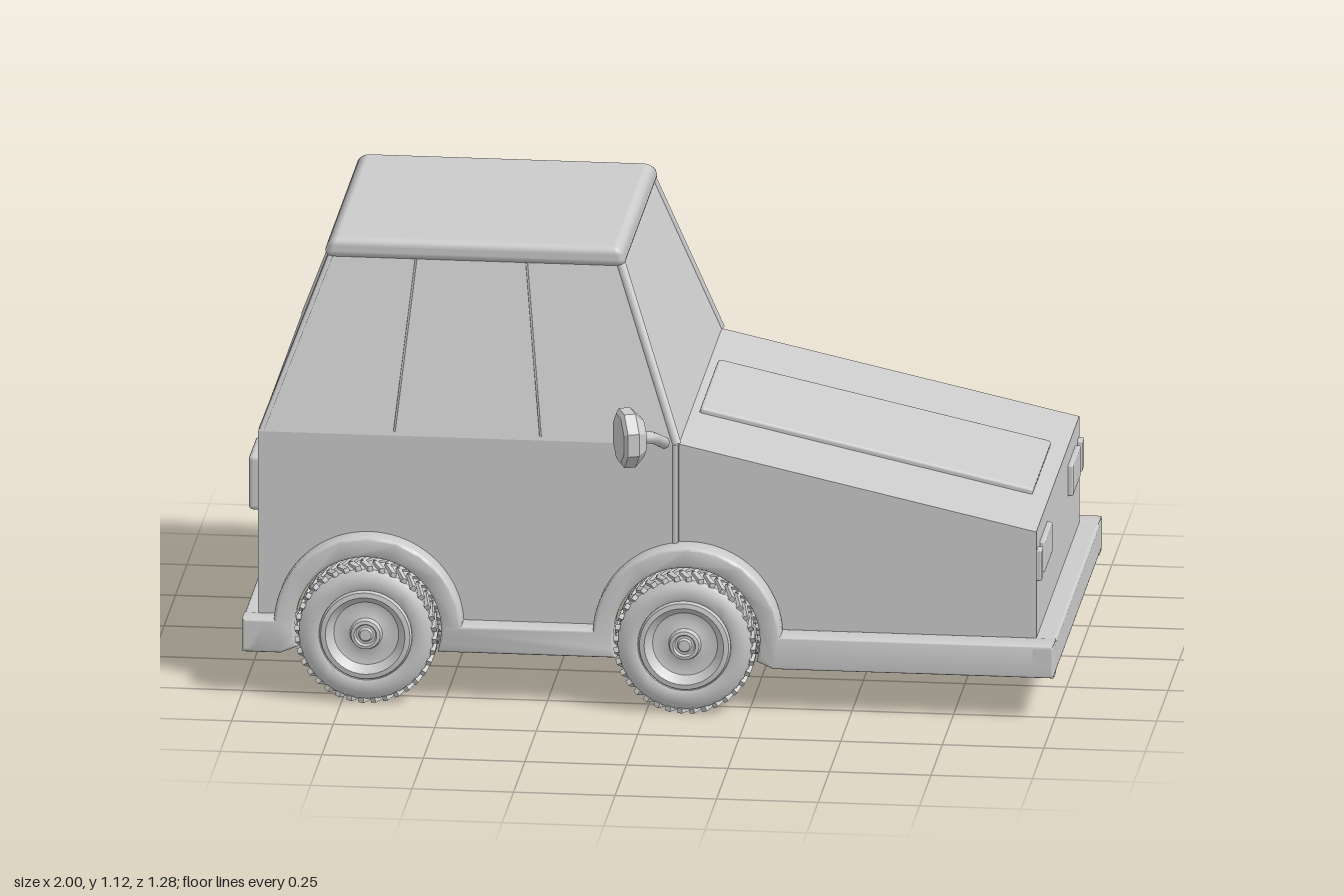
import * as THREE from 'three';
import { mergeGeometries, toCreasedNormals } from 'three/addons/utils/BufferGeometryUtils.js';
import { RoundedBoxGeometry } from 'three/addons/geometries/RoundedBoxGeometry.js';

const solid = new THREE.MeshStandardMaterial({ color: 0xcccccc });
const sheet = new THREE.MeshStandardMaterial({ color: 0xcccccc, side: THREE.DoubleSide });
const V = (x, y, z) => new THREE.Vector3(x, y, z);

const AXLES = [-0.69, 0.095]; // x of rear and front axle
const AXLE_Y = 0.18;
const BELT = 0.66, ROOF = 1.085; // heights of the window line and roof
const CABIN_W = 0.484, HOOD_W = 0.474, ROOF_W = 0.348; // half widths

function add(parent, name, geometry, material = solid) {
  const mesh = new THREE.Mesh(geometry, material);
  mesh.name = name;
  parent.add(mesh);
  return mesh;
}

// Flat four-cornered panel
function panel(a, b, c, d) {
  const g = new THREE.BufferGeometry().setFromPoints([a, b, c, a, c, d]);
  g.computeVertexNormals();
  return g;
}

// Panel across the car between two profile points [x, y, halfWidth]
const across = (p, q) => panel(V(p[0], p[1], p[2]), V(p[0], p[1], -p[2]), V(q[0], q[1], -q[2]), V(q[0], q[1], q[2]));

function rod(a, b, r) {
  return new THREE.TubeGeometry(new THREE.LineCurve3(a, b), 1, r, 8);
}

function box(parent, name, size, pos, radius) {
  const g = radius ? new RoundedBoxGeometry(...size, 2, radius) : new THREE.BoxGeometry(...size);
  const m = add(parent, name, g);
  m.position.set(...pos);
  return m;
}

// Side walls, cut out around the wheels
function sideWalls(body, s) {
  const r = 0.2, split = 0.07, y0 = 0.17;
  const a = Math.acos((split - AXLES[1]) / r);
  const door = new THREE.Shape();
  door.moveTo(-0.965, y0);
  door.lineTo(AXLES[0] - r, y0);
  door.absarc(AXLES[0], AXLE_Y, r, Math.PI, 0, true);
  door.lineTo(AXLES[0] + r, 0.19);
  door.lineTo(AXLES[1] - r, 0.19);
  door.absarc(AXLES[1], AXLE_Y, r, Math.PI, a, true);
  door.lineTo(split, BELT);
  door.lineTo(-0.965, BELT);
  add(body, 'cabinSide', new THREE.ShapeGeometry(door, 20), sheet).position.z = s * CABIN_W;

  const wing = new THREE.Shape();
  wing.moveTo(split, BELT);
  wing.lineTo(split, AXLE_Y + r * Math.sin(a));
  wing.absarc(AXLES[1], AXLE_Y, r, a, 0, true);
  wing.lineTo(AXLES[1] + r, y0);
  wing.lineTo(0.95, y0);
  wing.lineTo(0.95, 0.465);
  add(body, 'hoodSide', new THREE.ShapeGeometry(wing, 20), sheet).position.z = s * HOOD_W;

  // Step between the cabin and the narrower hood
  add(body, 'doorEdge', rod(V(split - 0.008, 0.38, s * (CABIN_W - 0.004)), V(split - 0.008, BELT, s * (CABIN_W - 0.004)), 0.009));
  add(body, 'sideWindow', panel(V(-0.965, BELT, s * CABIN_W), V(split, BELT, s * CABIN_W),
    V(-0.085, ROOF, s * ROOF_W), V(-0.805, ROOF, s * ROOF_W)), sheet);
  // Window seams and corner pillars
  for (const [x0, x1] of [[-0.63, -0.59], [-0.27, -0.32]])
    add(body, 'windowSeam', rod(V(x0, BELT + 0.01, s * CABIN_W), V(x1, ROOF, s * ROOF_W), 0.0025));
  add(body, 'frontPillar', rod(V(split - 0.005, BELT, s * (CABIN_W - 0.006)), V(-0.09, ROOF, s * (ROOF_W - 0.006)), 0.012));
  add(body, 'rearPillar', rod(V(-0.957, BELT, s * (CABIN_W - 0.007)), V(-0.797, ROOF, s * (ROOF_W - 0.007)), 0.009));
}

// Wheel arches and sill in one extruded strip
function trimGeometry() {
  const ri = 0.187, ro = 0.225, yb = 0.115, top = 0.187;
  const t = new THREE.Shape();
  const out = Math.asin((top - AXLE_Y) / ro), inn = Math.asin((0.13 - AXLE_Y) / ri);
  t.moveTo(-0.992, yb);
  t.lineTo(-0.992, top);
  for (const x of AXLES) t.absarc(x, AXLE_Y, ro, Math.PI - out, out, true);
  t.lineTo(0.992, top);
  t.lineTo(0.992, yb);
  t.lineTo(AXLES[1] + 0.215, yb);
  for (const x of [...AXLES].reverse()) t.absarc(x, AXLE_Y, ri, inn, Math.PI - inn, false);
  t.lineTo(AXLES[0] - 0.215, yb);
  const g = new THREE.ExtrudeGeometry(t, { depth: 0.044, bevelThickness: 0.012, bevelSize: 0.007, bevelSegments: 3, curveSegments: 20 });
  return toCreasedNormals(g, 0.7);
}

// Wheel centred on its own axis, outer face towards +z
function makeWheel() {
  const wheel = new THREE.Group();
  wheel.name = 'wheel';
  const lathe = pts => toCreasedNormals(
    new THREE.LatheGeometry(pts.map(p => new THREE.Vector2(...p)), 40).rotateX(Math.PI / 2), 0.6);
  add(wheel, 'tyre', lathe([[0.1, -0.05], [0.115, -0.057], [0.15, -0.057], [0.166, -0.045], [0.17, 0],
    [0.166, 0.045], [0.15, 0.057], [0.125, 0.06], [0.115, 0.056], [0.112, 0.045]]), sheet);
  add(wheel, 'rim', lathe([[0, -0.064], [0.1, -0.064], [0.115, -0.05], [0.115, 0.05], [0.11, 0.062], [0.098, 0.064],
    [0.09, 0.055], [0.08, 0.04], [0.06, 0.036], [0.04, 0.042], [0.036, 0.056], [0.028, 0.058],
    [0.024, 0.05], [0.018, 0.05], [0.014, 0.058], [0, 0.06]]), sheet);
  // Chevron tread blocks
  const blocks = [];
  for (let i = 0; i < 36; i++) for (const s of [-1, 1]) {
    const b = new THREE.BoxGeometry(0.014, 0.012, 0.054);
    b.rotateY(s * 0.45).translate(0, 0.169, s * 0.026);
    blocks.push(b.rotateZ(i / 36 * Math.PI * 2));
  }
  add(wheel, 'tread', mergeGeometries(blocks));
  return wheel;
}

// Door mirror for the +z side
function makeMirror() {
  const mirror = new THREE.Group();
  mirror.name = 'doorMirror';
  const arm = new THREE.CatmullRomCurve3([V(0.035, 0.66, 0.465), V(0.025, 0.685, 0.52), V(0.01, 0.705, 0.565), V(-0.03, 0.706, 0.58)]);
  add(mirror, 'mirrorArm', new THREE.TubeGeometry(arm, 12, 0.015, 8));
  const head = new THREE.Group();
  // Octagonal housing, narrower at the front
  const profile = [[0, -0.026], [0.062, -0.026], [0.074, -0.018], [0.074, 0.01], [0.05, 0.034], [0, 0.034]]
    .map(p => new THREE.Vector2(...p));
  const g = new THREE.LatheGeometry(profile, 8).rotateY(Math.PI / 8).rotateZ(-Math.PI / 2);
  add(head, 'mirrorHousing', toCreasedNormals(g, 0.3), sheet);
  head.position.set(-0.042, 0.705, 0.572);
  head.rotation.y = 0.35;
  head.name = 'mirrorHead';
  mirror.add(head);
  return mirror;
}

export function createModel() {
  const car = new THREE.Group();
  car.name = 'car';
  const body = new THREE.Group();
  body.name = 'body';
  body.position.z = -0.006;
  car.add(body);

  // Panels across the body, open underneath
  add(body, 'rearPanel', across([-0.965, 0.17, CABIN_W], [-0.965, BELT, CABIN_W]), sheet);
  add(body, 'rearWindow', across([-0.965, BELT, CABIN_W], [-0.805, ROOF, ROOF_W]), sheet);
  add(body, 'windshield', across([0.07, BELT, CABIN_W], [-0.085, ROOF, ROOF_W]), sheet);
  add(body, 'hood', across([0.07, BELT, HOOD_W], [0.95, 0.465, HOOD_W]), sheet);
  add(body, 'frontPanel', across([0.95, 0.465, HOOD_W], [0.95, 0.17, HOOD_W]), sheet);
  const slope = Math.atan2(0.465 - BELT, 0.88);
  box(body, 'hoodPanel', [0.84, 0.024, 0.4], [0.5, 0.567, 0], 0.008).rotation.z = slope;

  // Roof slab, slightly smaller at the top
  const roof = new RoundedBoxGeometry(0.74, 0.048, 0.726, 3, 0.018);
  const p = roof.attributes.position;
  for (let i = 0; i < p.count; i++) {
    const k = 1 - Math.max(0, p.getY(i)) * 1.6;
    p.setX(i, p.getX(i) * k);
    p.setZ(i, p.getZ(i) * k);
  }
  add(body, 'roof', roof).position.set(-0.445, 1.096, 0);

  // Bumpers
  box(body, 'frontBumper', [0.06, 0.082, 1.074], [0.97, 0.151, 0], 0.008);
  box(body, 'rearBumper', [0.06, 0.082, 1.074], [-0.97, 0.151, 0], 0.008);

  const trim = trimGeometry();
  for (const s of [-1, 1]) {
    sideWalls(body, s);
    add(body, 'archTrim', trim).position.z = s * 0.503 - 0.022;
    // Lights
    box(body, 'headlight', [0.025, 0.08, 0.168], [0.95, 0.376, s * 0.312], 0.005);
    box(body, 'turnSignal', [0.025, 0.08, 0.036], [0.95, 0.376, s * 0.448], 0.005);
    box(body, 'tailLight', [0.05, 0.14, 0.17], [-0.97, 0.51, s * 0.35], 0.012);
    // Wheels and mirrors
    for (const x of AXLES) {
      const wheel = makeWheel();
      wheel.position.set(x, AXLE_Y - 0.004, s * 0.518);
      if (s < 0) wheel.rotation.y = Math.PI;
      car.add(wheel);
    }
    const mirror = makeMirror();
    mirror.scale.z = s;
    car.add(mirror);
  }
  return car;
}
